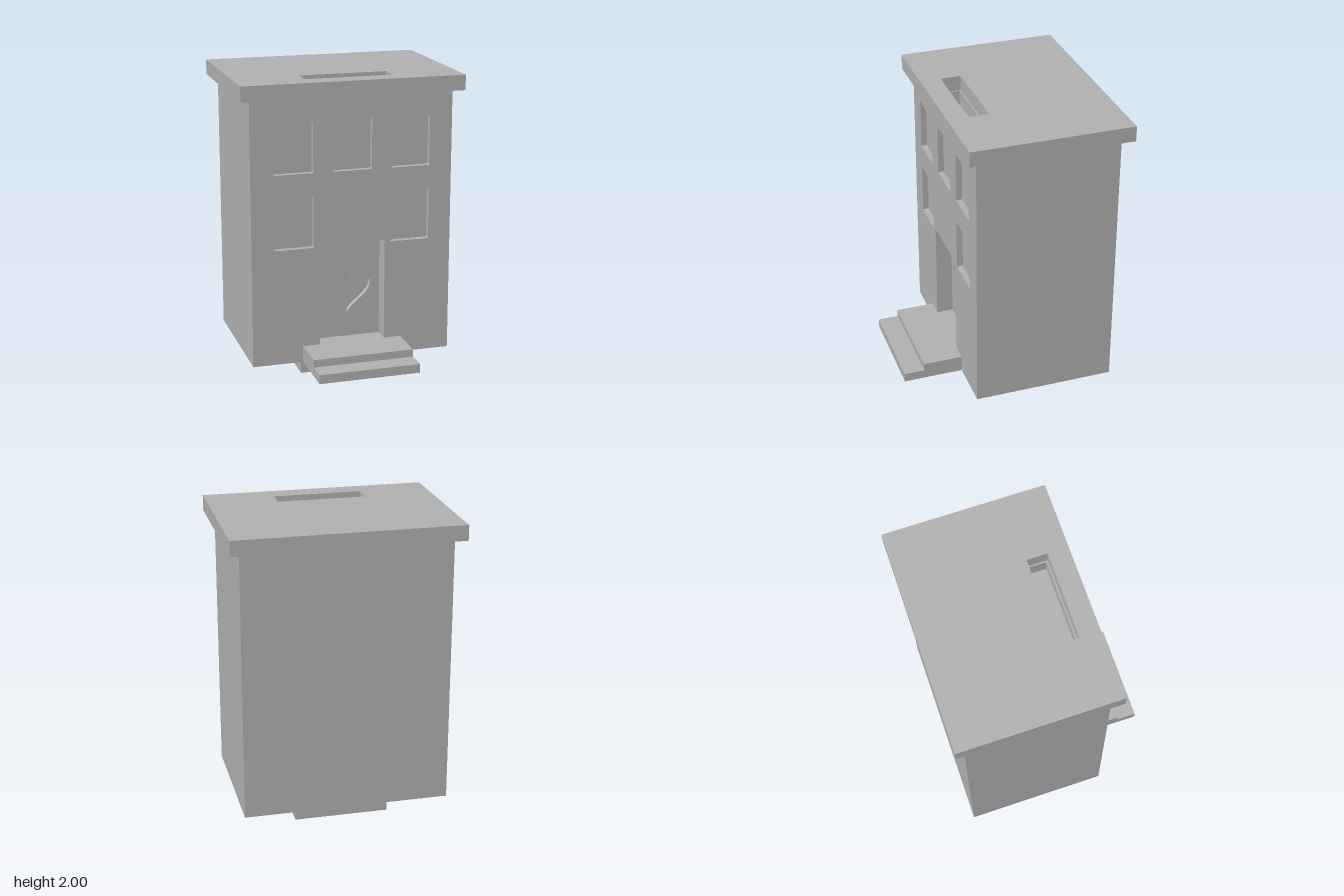
import * as THREE from 'three';

const grey = new THREE.MeshStandardMaterial({ color: 0xb3b3b3 });
grey.name = 'grey';

// Rectangle outline, with slightly rounded corners when r > 0
function rect(x0, x1, y0, y1, r = 0, Type = THREE.Path) {
  const p = new Type();
  if (!r) {
    p.moveTo(x0, y0).lineTo(x1, y0).lineTo(x1, y1).lineTo(x0, y1).closePath();
    return p;
  }
  p.moveTo(x0 + r, y0);
  p.lineTo(x1 - r, y0).quadraticCurveTo(x1, y0, x1, y0 + r);
  p.lineTo(x1, y1 - r).quadraticCurveTo(x1, y1, x1 - r, y1);
  p.lineTo(x0 + r, y1).quadraticCurveTo(x0, y1, x0, y1 - r);
  p.lineTo(x0, y0 + r).quadraticCurveTo(x0, y0, x0 + r, y0);
  return p;
}

// Heart outline with its tip at the bottom
function heart() {
  const p = new THREE.Path();
  p.moveTo(0, 0.42);
  p.bezierCurveTo(0.03, 0.49, 0.157, 0.53, 0.157, 0.62);
  p.bezierCurveTo(0.157, 0.665, 0.122, 0.697, 0.08, 0.697);
  p.bezierCurveTo(0.045, 0.697, 0.012, 0.675, 0, 0.64);
  p.bezierCurveTo(-0.012, 0.675, -0.045, 0.697, -0.08, 0.697);
  p.bezierCurveTo(-0.122, 0.697, -0.157, 0.665, -0.157, 0.62);
  p.bezierCurveTo(-0.157, 0.53, -0.03, 0.49, 0, 0.42);
  return p;
}

export function createModel() {
  const house = new THREE.Group();
  house.name = 'houseCoinBank';

  const add = (name, geometry) => {
    const mesh = new THREE.Mesh(geometry, grey);
    mesh.name = name;
    house.add(mesh);
  };
  const box = (name, x, y0, y1, z0, z1) => add(name,
    new THREE.BoxGeometry(2 * x, y1 - y0, z1 - z0).translate(0, (y0 + y1) / 2, (z0 + z1) / 2));
  const extrude = (shape, holes, depth) => {
    shape.holes.push(...holes);
    return new THREE.ExtrudeGeometry(shape, { depth, bevelEnabled: false, curveSegments: 12 });
  };
  // Upright wall layer with openings
  const wall = (name, z0, z1, holes) => add(name,
    extrude(rect(-0.67, 0.67, 0.14, 1.8, 0, THREE.Shape), holes, z1 - z0).translate(0, 0, z0));
  // Horizontal slab with a coin slot
  const slab = (name, x, z0, z1, y0, y1, slot) => add(name,
    extrude(rect(-x, x, -z1, -z0, 0, THREE.Shape), [slot], y1 - y0)
      .rotateX(-Math.PI / 2).translate(0, y0, 0));

  // Openings in the facade
  const windows = [];
  for (const x of [-0.39, 0, 0.39]) {
    windows.push(rect(x - 0.13, x + 0.13, 1.41, 1.745, 0.007));
    if (x) windows.push(rect(x - 0.13, x + 0.13, 0.915, 1.255, 0.007));
  }
  const door = () => rect(-0.22, 0.22, 0.25, 0.93);

  // Body, built up in layers from the back to the facade
  box('bodyCore', 0.67, 0.14, 1.8, -0.63, 0.155);
  wall('doorPanel', 0.155, 0.19, [heart()]);
  wall('doorSurround', 0.19, 0.26, [door()]);
  wall('windowFacade', 0.26, 0.3, [door(), ...windows]);

  // Body top and roof, both pierced by the coin slot
  slab('bodyTop', 0.67, -0.63, 0.3, 1.8, 1.9, rect(-0.28, 0.28, -0.215, -0.1));
  slab('roof', 0.735, -0.695, 0.36, 1.9, 2, rect(-0.29, 0.29, -0.225, -0.09));

  // Front steps
  box('upperStep', 0.335, 0.14, 0.25, 0.3, 0.56);
  box('lowerStep', 0.335, 0.14, 0.2, 0.56, 0.695);

  // Plug underneath
  box('basePlug', 0.31, 0, 0.14, -0.475, 0.15);

  return house;
}
